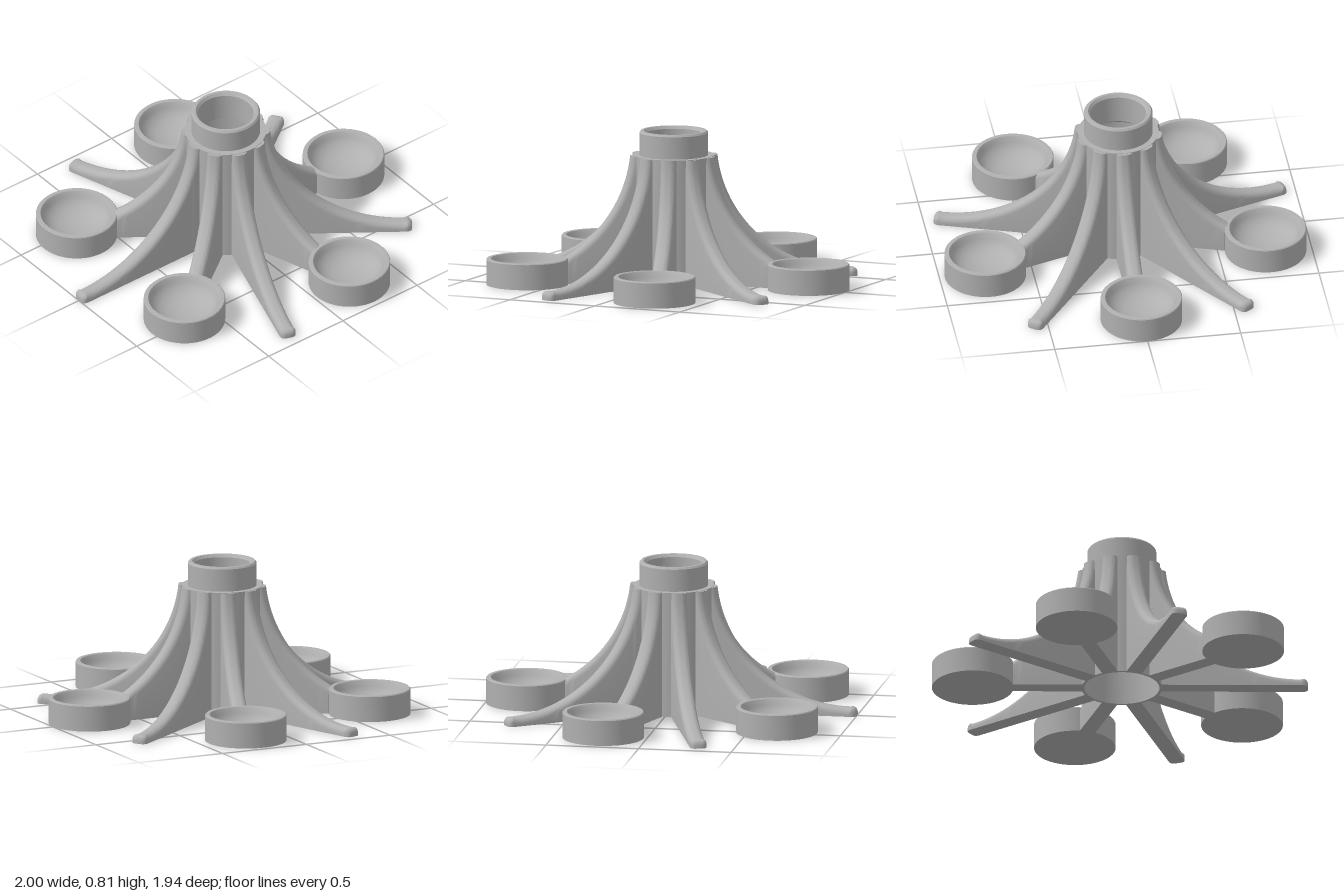
import * as THREE from 'three';
import { toCreasedNormals } from 'three/addons/utils/BufferGeometryUtils.js';

const TOP = 0.675;      // height of the ribbed body
const HALF = 0.043;     // half thickness of a rib
const ROUND = 0.032;    // rounding of the rib's upper edges

// Turned part from [radius, height] pairs, listed outside upwards, inside downwards
function turned(pairs, material, name) {
  const points = pairs.map(([r, y]) => new THREE.Vector2(r, y));
  const mesh = new THREE.Mesh(toCreasedNormals(new THREE.LatheGeometry(points, 64), 0.6), material);
  mesh.name = name;
  return mesh;
}

// One rounded cross-section of a rib: spine point, outward normal, half width, rounding
function ribSection(r, y, nx, ny, half, round) {
  const side = [];
  for (let i = 0; i <= 5; i++) {
    const t = (i / 5) * Math.PI / 2;
    const depth = round * (1 - Math.sin(t));
    side.push([r - nx * depth, Math.min(TOP, y - ny * depth), half - round + round * Math.cos(t)]);
  }
  side.unshift([side[0][0], 0, half]);
  const mirrored = side.map(([x, h, z]) => [x, h, -z]).reverse();
  return [...side, ...mirrored];
}

// Rib sweeping down an elliptical curve, running out to radius 'end'
function ribGeometry(end, taperedTip) {
  const a = 0.72, b = 0.7, cx = 0.95, base = 0.045;
  const first = Math.asin(0.1);
  const last = end >= cx ? Math.PI / 2 : Math.acos((cx - end) / a);
  const sections = [];
  for (let i = 0; i <= 32; i++) {
    const p = first + (last - first) * i / 32;
    const n = new THREE.Vector2(Math.cos(p) / a, Math.sin(p) / b).normalize();
    sections.push(ribSection(cx - a * Math.cos(p), base + b * (1 - Math.sin(p)), n.x, n.y, HALF, ROUND));
  }
  if (taperedTip) {
    for (const [r, cut] of [[end - 0.025, 0], [end - 0.012, 0.004], [end - 0.004, 0.011], [end, 0.021]]) {
      sections.push(ribSection(r, base - cut, 0, 1, HALF - cut, Math.min(ROUND - cut, 0.02)));
    }
  }

  const count = sections[0].length;
  const positions = sections.flat(2);
  const index = [];
  for (let j = 0; j < sections.length - 1; j++) {
    for (let k = 0; k < count; k++) {
      const k2 = (k + 1) % count;
      const p = j * count + k, q = j * count + k2;
      index.push(p, p + count, q + count, p, q + count, q);
    }
  }
  // flat upper end
  const upper = positions.length / 3;
  positions.push(sections[0][1][0], sections[0][1][1], 0);
  for (let k = 1; k < count - 2; k++) index.push(upper, k, k + 1);
  // outer end
  const start = (sections.length - 1) * count;
  const outer = positions.length / 3;
  const tip = sections[sections.length - 1];
  positions.push(tip[0][0], tip[1][1] / 2, 0);
  for (let k = 0; k < count; k++) index.push(outer, start + (k + 1) % count, start + k);

  const geometry = new THREE.BufferGeometry();
  geometry.setAttribute('position', new THREE.Float32BufferAttribute(positions, 3));
  geometry.setIndex(index);
  return toCreasedNormals(geometry, 0.6);
}

export function createModel() {
  const grey = new THREE.MeshStandardMaterial({ color: 0xb0b0b0 });
  grey.name = 'light grey';

  const model = new THREE.Group();
  model.name = 'tieredCupStand';
  const stand = new THREE.Group();
  stand.name = 'stand';
  stand.position.x = -0.01;
  model.add(stand);

  // hollow body with a narrower socket neck
  stand.add(turned([
    [0.2, 0], [0.215, 0], [0.215, TOP], [0.183, TOP], [0.183, 0.795], [0.175, 0.805],
    [0.16, 0.805], [0.148, 0.79], [0.148, 0.64], [0.2, 0.6], [0.2, 0],
  ], grey, 'hollowHub'));

  // alternating long legs and shorter arms carrying cups
  const legGeometry = ribGeometry(0.99, true);
  const armGeometry = ribGeometry(0.595, false);
  const cupProfile = [
    [0, 0], [0.217, 0], [0.217, 0.135], [0.213, 0.14], [0.193, 0.14], [0.188, 0.134],
    [0.18, 0.108], [0.163, 0.082], [0.137, 0.06], [0.1, 0.043], [0.05, 0.033], [0, 0.03],
  ];
  for (let i = 0; i < 5; i++) {
    const angle = i * Math.PI * 2 / 5;

    const arm = new THREE.Group();
    arm.name = 'cupArm' + (i + 1);
    arm.rotation.y = angle;
    const beam = new THREE.Mesh(armGeometry, grey);
    beam.name = 'arm';
    const cup = turned(cupProfile, grey, 'cup');
    cup.position.x = 0.793;
    arm.add(beam, cup);

    const leg = new THREE.Mesh(legGeometry, grey);
    leg.name = 'leg' + (i + 1);
    leg.rotation.y = angle + Math.PI / 5;
    stand.add(arm, leg);
  }
  return model;
}
